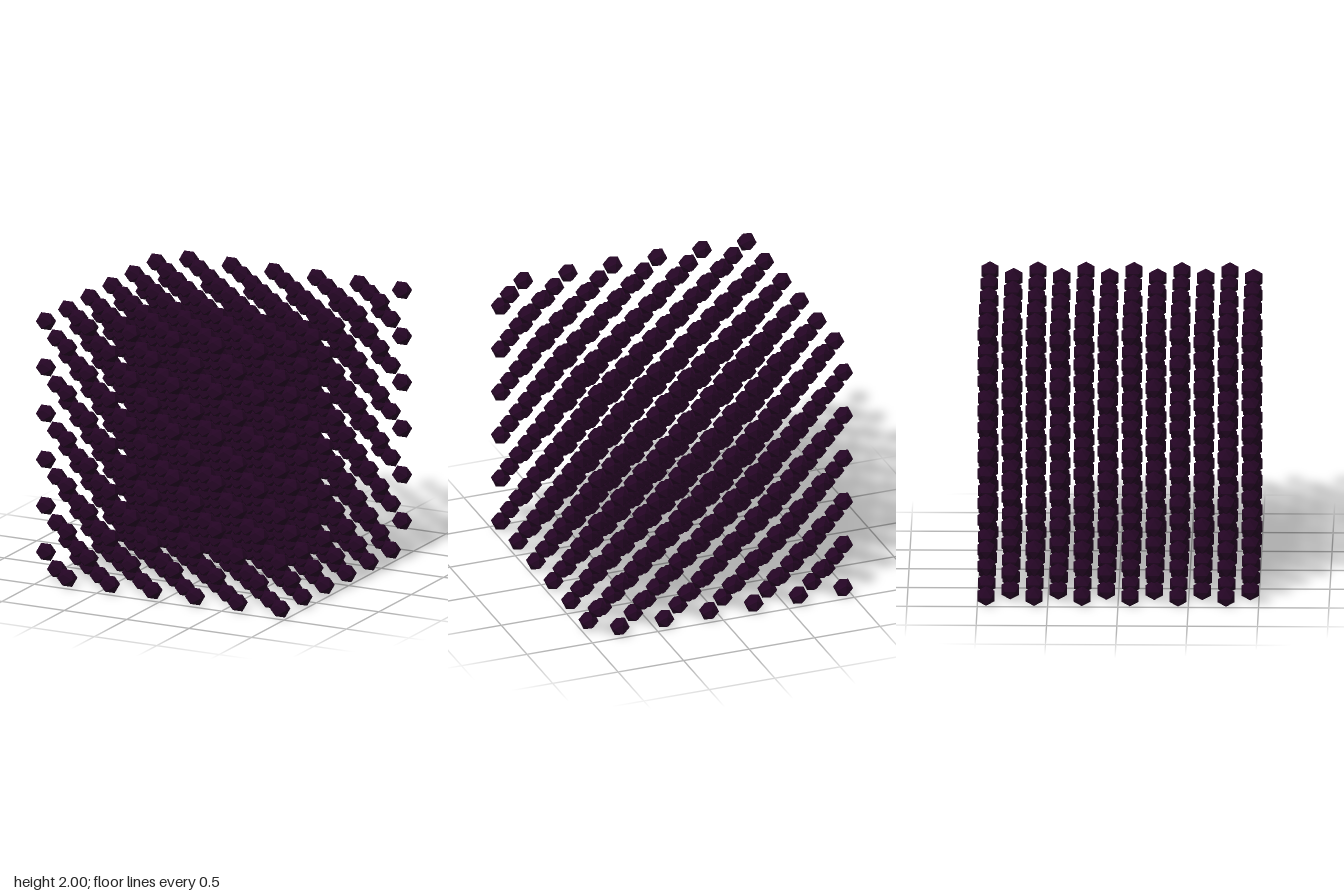
import * as THREE from 'three';
import { mergeGeometries } from 'three/addons/utils/BufferGeometryUtils.js';

const COUNT = 12;       // lattice sites along each axis
const RADIUS = 0.0725;  // gem circumradius

export function createModel() {
  const model = new THREE.Group();
  model.name = 'gemLattice';

  const material = new THREE.MeshStandardMaterial({ color: 0x240524, flatShading: true });
  const gem = new THREE.IcosahedronGeometry(RADIUS, 0);
  gem.computeBoundingBox();
  const reach = gem.boundingBox.max.y;
  const spacing = (2 - 2 * reach) / (COUNT - 1);
  const offset = (i) => (i - (COUNT - 1) / 2) * spacing;

  // Checkerboard layer of gems: parity picks which half of the sites is filled
  function checkerLayer(parity) {
    const gems = [];
    for (let i = 0; i < COUNT; i++) {
      for (let k = (i + parity) % 2; k < COUNT; k += 2) {
        gems.push(gem.clone().translate(offset(i), 0, offset(k)));
      }
    }
    return mergeGeometries(gems);
  }
  const layerGeometries = [checkerLayer(0), checkerLayer(1)];

  // Alternating layers stacked from the ground up
  for (let j = 0; j < COUNT; j++) {
    const layer = new THREE.Mesh(layerGeometries[j % 2], material);
    layer.name = `gemLayer${j + 1}`;
    layer.position.y = reach + j * spacing;
    model.add(layer);
  }
  return model;
}
